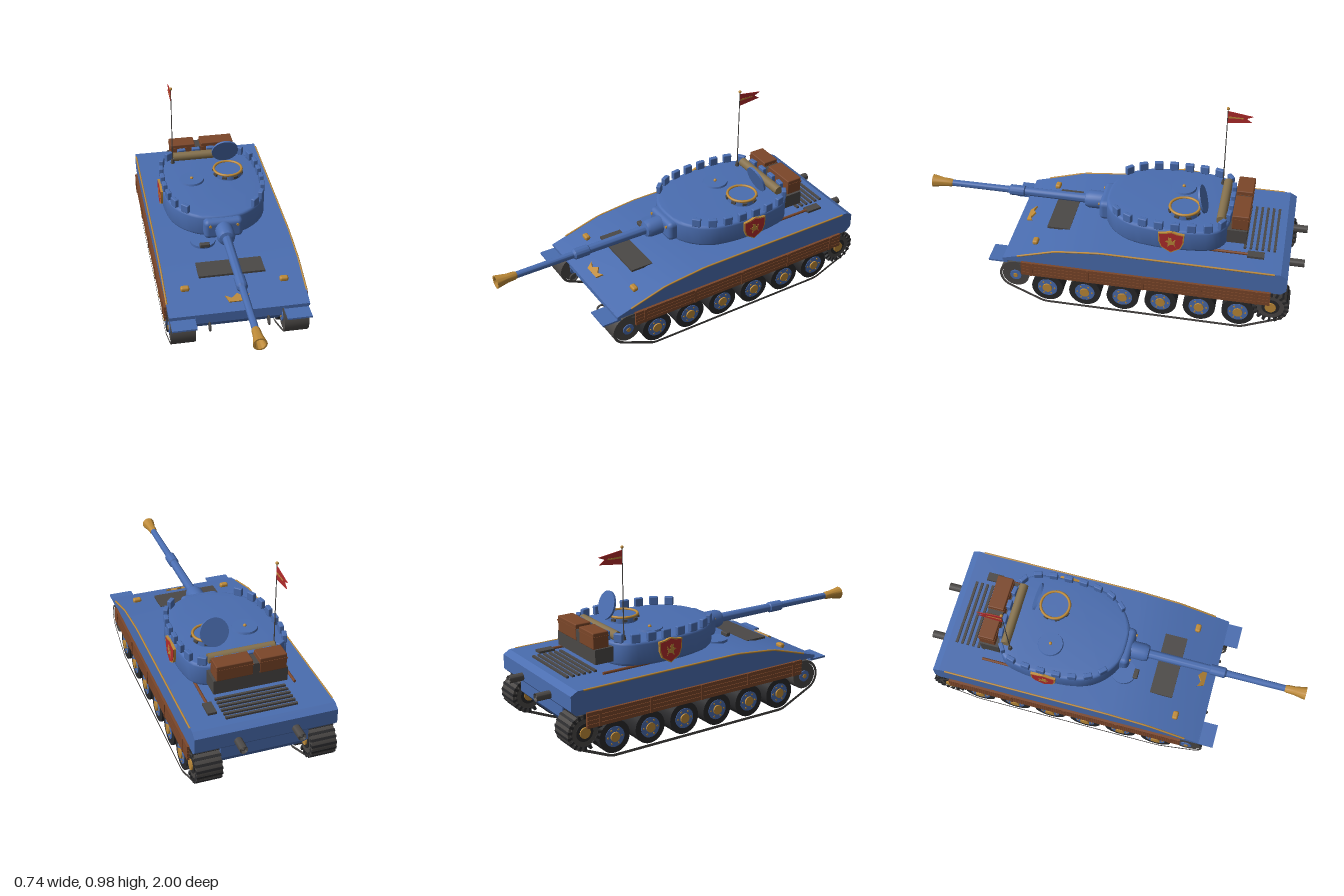
import * as THREE from 'three';
import { toCreasedNormals } from 'three/addons/utils/BufferGeometryUtils.js';
import { RoundedBoxGeometry } from 'three/addons/geometries/RoundedBoxGeometry.js';

const paint = (name, color, side = THREE.FrontSide) => {
  const m = new THREE.MeshStandardMaterial({ color, side });
  m.name = name;
  return m;
};
const blue = paint('blue paint', 0x4a6db0);
const gold = paint('gold', 0xbd8a38);
const wood = paint('brown wood', 0x7b4629);
const metal = paint('grey metal', 0x4b4846);
const rubber = paint('black rubber', 0x29292b);
const red = paint('red', 0xb12c2c, THREE.DoubleSide);
const tan = paint('tan canvas', 0x85714d);

const box = (w, h, d) => new THREE.BoxGeometry(w, h, d);
const rbox = (w, h, d, r) => new RoundedBoxGeometry(w, h, d, 2, r);
const cyl = (r, h, r2 = r, n = 28) => new THREE.CylinderGeometry(r2, r, h, n);
const cylX = (r, h, n = 28) => cyl(r, h, r, n).rotateZ(Math.PI / 2);
const cylZ = (r, h, n = 24) => cyl(r, h, r, n).rotateX(Math.PI / 2);
const shape = pts => new THREE.Shape(pts.map(p => new THREE.Vector2(...p)));
// Lathe profile [radius, z] turned about the z axis
const turnZ = pts => toCreasedNormals(
  new THREE.LatheGeometry(pts.map(p => new THREE.Vector2(...p)), 28).rotateX(Math.PI / 2), 0.6);
// Side profile [z, y] given a width across x
const slab = (s, w) => toCreasedNormals(
  new THREE.ExtrudeGeometry(s, { depth: w, bevelEnabled: false })
    .translate(0, 0, -w / 2).rotateY(-Math.PI / 2), 0.5);

function add(parent, name, geo, mat, x = 0, y = 0, z = 0) {
  const m = new THREE.Mesh(geo, mat);
  m.name = name;
  m.position.set(x, y, z);
  parent.add(m);
  return m;
}
function group(parent, name, x = 0, y = 0, z = 0) {
  const g = new THREE.Group();
  g.name = name;
  g.position.set(x, y, z);
  parent.add(g);
  return g;
}

// Track loop around idler, road wheels and sprocket: [z, y, radius, from, to] in degrees
function trackLoop(shrink) {
  const arcs = [[0.465, 0.165, 0.085, 90, -66], [0.298, 0.105, 0.1, -66, -90],
    [-0.694, 0.105, 0.1, -90, -113], [-0.855, 0.165, 0.09, -113, -270]];
  const pts = [];
  for (const [z, y, r, a, b] of arcs) {
    const n = Math.ceil(Math.abs(b - a) / 10);
    for (let i = 0; i <= n; i++) {
      const t = THREE.MathUtils.degToRad(a + (b - a) * i / n);
      pts.push([z + (r - shrink) * Math.cos(t), y + (r - shrink) * Math.sin(t)]);
    }
  }
  return shape(pts);
}

function runningGear(root, s) {
  const g = group(root, s > 0 ? 'leftRunningGear' : 'rightRunningGear', s * 0.2875);
  const belt = trackLoop(0);
  belt.holes.push(trackLoop(0.014));
  add(g, 'track', slab(belt, 0.125), metal);
  for (let i = 0; i < 6; i++) {
    const w = group(g, 'roadWheel', 0, 0.105, 0.298 - i * 0.1984);
    add(w, 'tyre', cylX(0.083, 0.118), rubber);
    add(w, 'disc', cylX(0.052, 0.123), blue);
    add(w, 'hub', cylX(0.025, 0.138, 16), gold);
    for (let k = 0; k < 6; k++) {
      const a = k * Math.PI / 3;
      add(w, 'bolt', cylX(0.005, 0.128, 8), gold, 0, Math.sin(a) * 0.039, Math.cos(a) * 0.039);
    }
  }
  const idler = group(g, 'idler', 0, 0.165, 0.465);
  add(idler, 'rim', cylX(0.07, 0.118), metal);
  add(idler, 'disc', cylX(0.03, 0.128), blue);
  add(idler, 'hub', cylX(0.012, 0.136, 14), gold);
  const sprocket = group(g, 'sprocket', 0, 0.165, -0.855);
  add(sprocket, 'drum', cylX(0.072, 0.118), metal);
  add(sprocket, 'disc', cylX(0.045, 0.124), rubber);
  add(sprocket, 'hub', cylX(0.028, 0.138, 16), gold);
  for (let k = 0; k < 18; k++) {
    const a = k * Math.PI / 9;
    add(sprocket, 'tooth', box(0.13, 0.024, 0.013), rubber, 0, Math.cos(a) * 0.08, Math.sin(a) * 0.08).rotation.x = a;
  }
  // Plank skirt with straps, and the front mudguard
  for (let i = 0; i < 4; i++) add(g, 'skirtPlank', box(0.013, 0.018, 1.28), wood, s * 0.074, 0.197 + i * 0.02, -0.21);
  for (const z of [0.375, 0.08, -0.205, -0.5, -0.78]) add(g, 'skirtStrap', box(0.02, 0.078, 0.012), wood, s * 0.074, 0.227, z);
  add(g, 'mudguard', box(0.125, 0.009, 0.1), blue, 0, 0.246, 0.555);
  add(g, 'mudguardBracket', box(0.125, 0.03, 0.02), blue, 0, 0.258, 0.515);
}

function hull(root) {
  const g = group(root, 'hull');
  const top = [[0.528, 0.272], [0.25, 0.355], [0.02, 0.38], [-0.89, 0.38], [-0.925, 0.36]];
  add(g, 'upperHull', slab(shape([[-0.9, 0.26], [0.528, 0.26], ...top, [-0.925, 0.285]]), 0.71), blue);
  add(g, 'lowerHull', slab(shape([[-0.8, 0.097], [0.4, 0.097], [0.5, 0.195], [0.5, 0.27], [-0.9, 0.27], [-0.9, 0.2]]), 0.44), blue);
  for (const s of [-1, 1]) {
    const path = new THREE.CurvePath();
    const edge = [[0.45, 0.297], [0.25, 0.356], [0.02, 0.38], [-0.86, 0.38]].map(([z, y]) => new THREE.Vector3(s * 0.355, y - 0.002, z));
    for (let i = 0; i < 3; i++) path.add(new THREE.LineCurve3(edge[i], edge[i + 1]));
    add(g, 'edgeTrim', new THREE.TubeGeometry(path, 40, 0.005, 6), gold);
    add(g, 'headlight', rbox(0.045, 0.026, 0.03, 0.01), gold, s * 0.253, 0.327, 0.375);
    add(g, 'towRing', new THREE.TorusGeometry(0.021, 0.005, 8, 20).rotateY(Math.PI / 2), metal, s * 0.15, 0.18, 0.512);
    add(g, 'exhaust', turnZ([[0, -1], [0.012, -0.99], [0.02, -1], [0.02, -0.9], [0, -0.9]]), metal, s * 0.144, 0.305, 0);
  }
  // Crown badge lying on the sloped front
  const crown = shape([[-0.045, 0], [0.045, 0], [0.062, 0.036], [0.03, 0.021], [0, 0.044], [-0.03, 0.021], [-0.062, 0.036]]);
  add(g, 'crownBadge', new THREE.ExtrudeGeometry(crown, { depth: 0.009, bevelEnabled: false }), gold, 0, 0.289, 0.476).rotation.x = -1.08;
  add(g, 'frontPanel', box(0.34, 0.011, 0.12), metal, -0.005, 0.356, 0.275);
  add(g, 'driverHatch', cyl(0.066, 0.014), blue, -0.11, 0.382, 0.055);
  add(g, 'periscope', rbox(0.052, 0.022, 0.025, 0.005), metal, -0.11, 0.4, 0.122);
  for (let i = 0; i < 6; i++) add(g, 'grilleSlat', box(0.36, 0.012, 0.013), metal, -0.002, 0.384, -0.845 + i * 0.03);
  add(g, 'shovelHead', box(0.045, 0.012, 0.085), metal, 0.225, 0.386, -0.755);
  add(g, 'shovelHandle', cylZ(0.007, 0.26, 10), wood, 0.225, 0.387, -0.585);
  add(g, 'poleHandle', cylZ(0.007, 0.26, 10), wood, -0.235, 0.387, -0.555);
}

function turret(root) {
  const g = group(root, 'turret');
  const half = [[0.1, 0.03], [0.18, -0.02], [0.24, -0.1], [0.268, -0.21], [0.274, -0.34], [0.266, -0.46], [0.24, -0.55], [0.17, -0.6]];
  const ring = [[0, 0.042], ...half, [0, -0.613], ...half.map(([x, z]) => [-x, z]).reverse()];
  const curve = new THREE.CatmullRomCurve3(ring.map(([x, z]) => new THREE.Vector3(x, 0, z)), true);
  const plate = (y0, y1, k, bevel) => {
    const s = shape(curve.getSpacedPoints(72).slice(0, -1).map(p => [p.x * k, -((p.z + 0.28) * k - 0.28)]));
    const geo = new THREE.ExtrudeGeometry(s, { depth: y1 - y0 - 2 * bevel, bevelEnabled: bevel > 0,
      bevelSize: bevel, bevelThickness: bevel, bevelOffset: -bevel, bevelSegments: 3 });
    return toCreasedNormals(geo.rotateX(-Math.PI / 2).translate(0, y0 + bevel, 0), 0.7);
  };
  add(g, 'turretRing', plate(0.375, 0.41, 0.88, 0), blue);
  add(g, 'turretBody', plate(0.393, 0.512, 1, 0.014), blue);
  // Battlements around the roof edge, left open above the gun
  for (let i = 0; i < 24; i++) {
    const u = (i + 0.5) / 24, p = curve.getPointAt(u), t = curve.getTangentAt(u);
    if (p.z > -0.1 && Math.abs(p.x) < 0.13) continue;
    const m = add(g, 'merlon', rbox(0.024, 0.046, 0.046, 0.005), blue, p.x * 0.965, 0.533, (p.z + 0.28) * 0.975 - 0.28);
    m.rotation.y = Math.atan2(t.x, t.z);
  }
  // Gun
  const gun = group(g, 'gun', 0, 0.45, 0);
  add(gun, 'mantlet', rbox(0.205, 0.108, 0.09, 0.025), blue, 0, 0, 0.03);
  for (const s of [-1, 1]) add(gun, 'mantletStud', cylZ(0.007, 0.012, 10), gold, s * 0.072, 0.027, 0.075);
  add(gun, 'barrel', turnZ([[0.047, 0.06], [0.047, 0.14], [0.04, 0.16], [0.024, 0.165], [0.022, 0.49], [0.028, 0.495],
    [0.028, 0.57], [0.018, 0.58], [0.017, 0.9]]), blue);
  add(gun, 'muzzle', turnZ([[0.017, 0.89], [0.021, 0.9], [0.023, 0.94], [0.034, 1], [0.026, 1], [0.017, 0.94], [0, 0.94]]), gold);
  add(gun, 'bore', cylZ(0.015, 0.006), metal, 0, 0, 0.942);
  // Commander's cupola with its lid open
  const c = group(g, 'cupola', 0.1, 0, -0.373);
  add(c, 'cupolaWall', cyl(0.078, 0.035, 0.074), blue, 0, 0.524, 0);
  add(c, 'cupolaRim', new THREE.TorusGeometry(0.076, 0.007, 8, 32).rotateX(Math.PI / 2), gold, 0, 0.544, 0);
  for (let k = 0; k < 8; k++) {
    const a = (k + 0.5) * Math.PI / 4;
    add(c, 'visionBlock', box(0.024, 0.012, 0.014), metal, Math.sin(a) * 0.077, 0.528, Math.cos(a) * 0.077).rotation.y = a;
  }
  add(c, 'cupolaLid', cyl(0.073, 0.011), blue, 0, 0.604, -0.09).rotation.x = Math.PI / 2 + 0.31;
  add(g, 'loaderHatch', cyl(0.068, 0.012, 0.064), blue, -0.105, 0.516, -0.34);
  add(g, 'hatchKnob', new THREE.SphereGeometry(0.009, 12, 8), gold, -0.105, 0.524, -0.34);
  // Shields on the flanks
  const crest = k => shape([[-0.066, 0.05], [-0.03, 0.054], [0, 0.064], [0.03, 0.054], [0.066, 0.05], [0.064, 0],
    [0.05, -0.035], [0, -0.066], [-0.05, -0.035], [-0.064, 0]].map(([z, y]) => [z * k, y * k]));
  const device = shape([[-0.025, -0.028], [-0.012, -0.012], [0.004, -0.016], [0.018, -0.03], [0.014, -0.004],
    [0.03, 0.004], [0.012, 0.012], [0.016, 0.03], [-0.002, 0.026], [-0.006, 0.004], [-0.024, 0.022], [-0.018, -0.006]]);
  for (const s of [-1, 1]) {
    const sh = group(g, 'shield', s * 0.278, 0.45, -0.332);
    add(sh, 'shieldRim', slab(crest(1), 0.014), gold);
    add(sh, 'shieldFace', slab(crest(0.9), 0.017), red);
    add(sh, 'shieldDevice', slab(device, 0.02), gold);
  }
  // Rear stowage
  add(g, 'stowageBin', box(0.375, 0.075, 0.1), metal, -0.002, 0.455, -0.65);
  for (const [x, w] of [[-0.112, 0.138], [0.082, 0.183]]) {
    add(g, 'crate', rbox(w, 0.082, 0.085, 0.005), wood, x, 0.532, -0.662);
    add(g, 'crateBand', box(w + 0.004, 0.006, 0.089), wood, x, 0.55, -0.662);
  }
  add(g, 'stowageStrap', box(0.034, 0.06, 0.08), metal, -0.027, 0.52, -0.662);
  add(g, 'tarpRoll', cylX(0.024, 0.34, 20), tan, -0.002, 0.532, -0.565);
  // Aerial and pennant
  const a = group(g, 'aerial', -0.182, 0, -0.536);
  add(a, 'aerialBase', cyl(0.013, 0.03, 0.008, 12), metal, 0, 0.52, 0);
  add(a, 'aerialRod', cyl(0.003, 0.46, 0.002, 8), metal, 0, 0.74, 0);
  add(a, 'aerialBall', new THREE.SphereGeometry(0.008, 12, 8), gold, 0, 0.972, 0);
  add(a, 'pennant', slab(shape([[0, 0.958], [-0.13, 0.938], [-0.095, 0.923], [-0.125, 0.902], [0, 0.888]]), 0.003), red);
  add(a, 'pennantStripe', slab(shape([[-0.005, 0.928], [-0.08, 0.926], [-0.08, 0.92], [-0.005, 0.918]]), 0.005), gold);
}

export function createModel() {
  const root = new THREE.Group();
  root.name = 'tank';
  hull(root);
  for (const s of [-1, 1]) runningGear(root, s);
  turret(root);
  return root;
}
